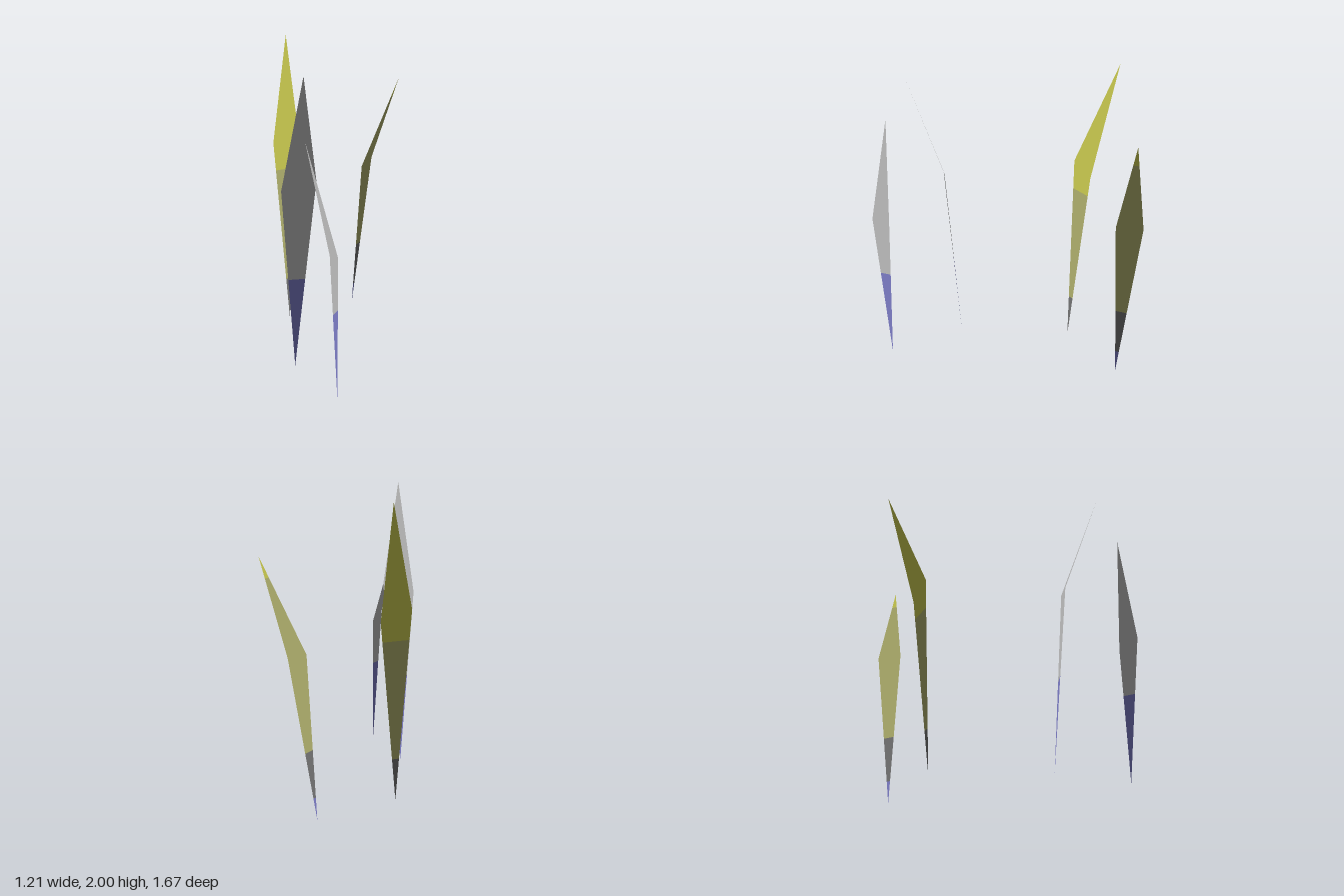
import * as THREE from 'three';

const material = (name, color) =>
  new THREE.MeshStandardMaterial({ name, color, side: THREE.DoubleSide });

// Point at height y on an edge running root -> shoulder -> tip
function edgePoint(root, shoulder, tip, y) {
  const [a, b] = y < shoulder.y ? [root, shoulder] : [shoulder, tip];
  return a.clone().lerp(b, (y - a.y) / (b.y - a.y));
}

// Section of a blade between two heights, with upward normals as for grass
function bladeSection({ root, left, right, tip }, y0, y1) {
  const inner = [left.y, right.y].filter((y) => y > y0 && y < y1);
  const rows = [y0, ...inner, y1].sort((a, b) => a - b);
  const positions = [], normals = [], index = [];
  rows.forEach((y, i) => {
    for (const shoulder of [left, right]) {
      positions.push(...edgePoint(root, shoulder, tip, y).toArray());
      normals.push(0, 1, 0);
    }
    if (i === 0) return;
    const k = 2 * (i - 1);
    if (rows[i - 1] > root.y) index.push(k, k + 1, k + 3);
    if (y < tip.y) index.push(k, k + 3, k + 2);
    else if (rows[i - 1] <= root.y) index.push(k, k + 3, k + 2);
  });
  const geometry = new THREE.BufferGeometry();
  geometry.setAttribute('position', new THREE.Float32BufferAttribute(positions, 3));
  geometry.setAttribute('normal', new THREE.Float32BufferAttribute(normals, 3));
  geometry.setIndex(index);
  return geometry;
}

export function createModel() {
  const yellow = material('yellow', 0xb4b446);
  const olive = material('olive', 0x9c9c60);
  const darkGrey = material('dark grey', 0x666666);
  const paleGrey = material('pale grey', 0xa8a8a8);
  const blue = material('blue', 0x6e6eb0);

  // Each blade: root, two shoulders, tip, and colour bands from the root up
  const blades = [
    {
      name: 'tallRightBlade',
      points: [[-0.405, 0.03, -0.05], [-0.5, 1.31, -0.015], [-0.42, 1.245, -0.21], [-0.605, 2, -0.295]],
      bands: [[darkGrey, 0.32], [olive, 1.115], [yellow, 2]],
    },
    {
      name: 'backBlade',
      points: [[-0.24, 0, -0.585], [-0.17, 1.065, -0.597], [-0.21, 1.085, -0.78], [-0.025, 1.68, -0.835]],
      bands: [[blue, 0.15], [darkGrey, 0.46], [olive, 1.55], [yellow, 1.68]],
    },
    {
      name: 'tallFrontBlade',
      points: [[0.092, 0.03, 0.517], [0.102, 1.245, 0.645], [0.252, 1.3, 0.492], [0.36, 1.99, 0.748]],
      bands: [[blue, 0.65], [paleGrey, 1.99]],
    },
    {
      name: 'shortFrontBlade',
      points: [[0.58, 0.04, 0.725], [0.602, 1.005, 0.832], [0.57, 0.945, 0.707], [0.435, 1.65, 0.837]],
      bands: [[blue, 0.62], [paleGrey, 1.65]],
    },
  ];

  const model = new THREE.Group();
  model.name = 'grassBlades';
  for (const { name, points, bands } of blades) {
    const [root, left, right, tip] = points.map((p) => new THREE.Vector3(...p));
    const blade = new THREE.Group();
    blade.name = name;
    let bottom = root.y;
    bands.forEach(([mat, top], i) => {
      const section = new THREE.Mesh(bladeSection({ root, left, right, tip }, bottom, top), mat);
      section.name = `${name}Section${i + 1}`;
      blade.add(section);
      bottom = top;
    });
    model.add(blade);
  }
  return model;
}
